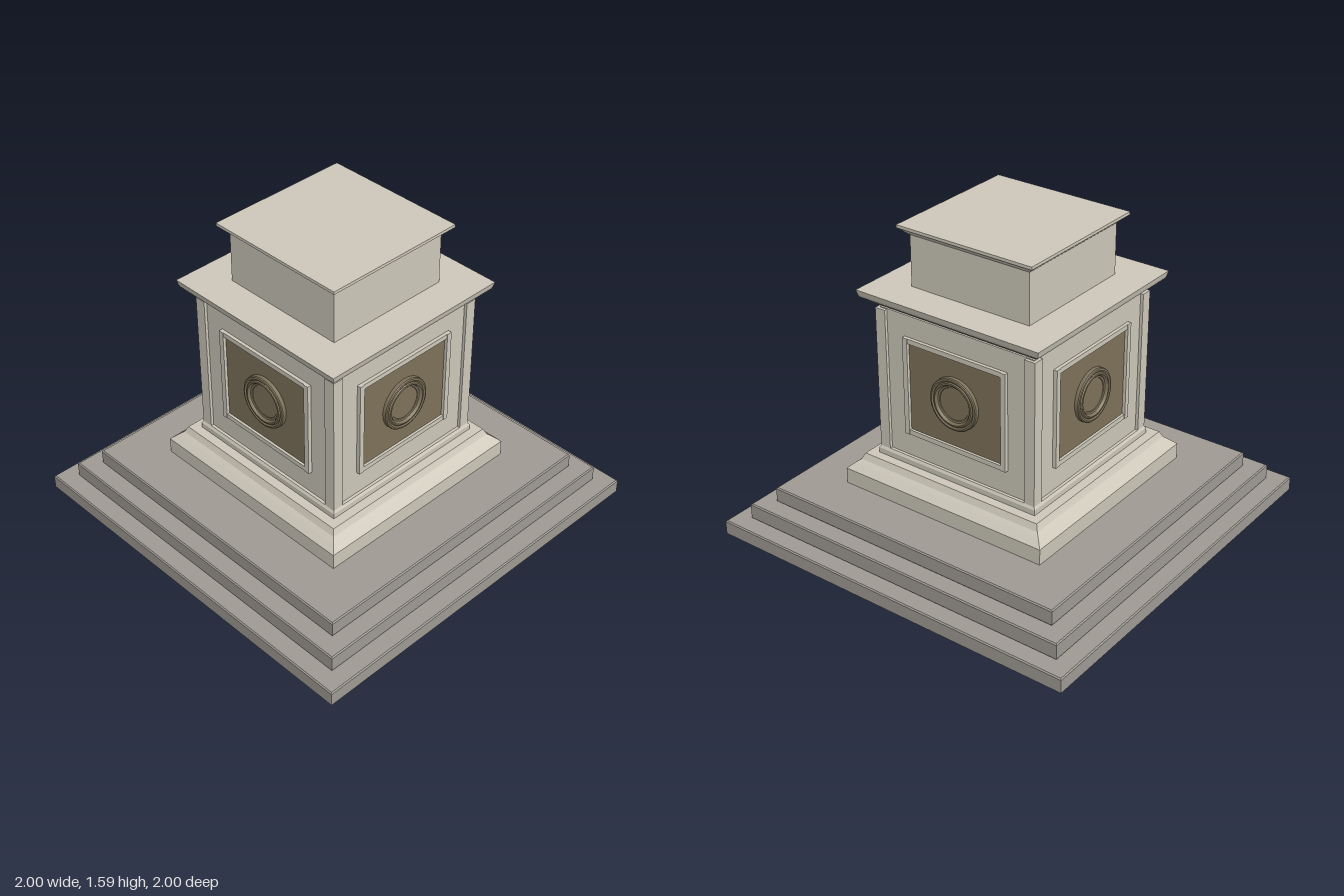
import * as THREE from 'three';
import { toCreasedNormals } from 'three/addons/utils/BufferGeometryUtils.js';

const paint = (name, color) => {
  const m = new THREE.MeshStandardMaterial({ color });
  m.name = name;
  return m;
};

export function createModel() {
  const model = new THREE.Group();
  model.name = 'pedestal';
  const cream = paint('cream stone', 0xcdc8ba);
  const grey = paint('grey stone', 0x9f9b94);
  const bronze = paint('bronze', 0x7e725a);

  const add = (parent, name, geometry, material, x = 0, y = 0, z = 0) => {
    const mesh = new THREE.Mesh(geometry, material);
    mesh.name = name;
    mesh.position.set(x, y, z);
    parent.add(mesh);
    return mesh;
  };
  const box = (parent, name, material, w, h, d, x, y, z) =>
    add(parent, name, new THREE.BoxGeometry(w, h, d), material, x, y, z);

  // Square tier from a closed profile of [half width, height], bottom to top
  const tier = (name, material, profile) => {
    const pts = [[0, profile[0][1]], ...profile, [0, profile.at(-1)[1]]]
      .map(([r, y]) => new THREE.Vector2(r * Math.SQRT2, y));
    const g = new THREE.LatheGeometry(pts, 4, Math.PI / 4).toNonIndexed();
    g.computeVertexNormals();
    add(model, name, g, material);
  };

  // Three steps with slightly eased edges
  [[1, 0, 0.08], [0.91, 0.08, 0.165], [0.82, 0.165, 0.247]].forEach(([r, y0, y1], i) => {
    const e = 0.006;
    tier(`step${i + 1}`, grey, [[r - e, y0], [r, y0 + e], [r, y1 - e], [r - e, y1]]);
  });

  // Plinth, shaft and crowning block
  tier('baseMoulding', cream, [
    [0.577, 0.247], [0.577, 0.328], [0.562, 0.342], [0.545, 0.358],
    [0.525, 0.374], [0.518, 0.388], [0.51, 0.405],
  ]);
  tier('baseBand', cream, [[0.463, 0.405], [0.463, 0.432], [0.455, 0.445]]);
  tier('shaft', cream, [[0.44, 0.44], [0.44, 1.185]]);
  tier('cornice', cream, [
    [0.43, 1.178], [0.43, 1.19], [0.455, 1.2], [0.475, 1.216],
    [0.475, 1.222], [0.505, 1.238], [0.51, 1.25], [0.516, 1.275],
  ]);
  tier('upperBlock', cream, [[0.335, 1.27], [0.335, 1.54]]);
  tier('cap', cream, [[0.338, 1.535], [0.372, 1.565], [0.378, 1.57], [0.378, 1.585]]);

  // Corner pilasters
  for (const x of [-1, 1])
    for (const z of [-1, 1])
      box(model, 'cornerPilaster', cream, 0.057, 0.735, 0.057, x * 0.427, 0.8125, z * 0.427);

  // Ringed medallion turned to face outwards
  const rings = [
    [0.134, 0], [0.134, 0.018], [0.13, 0.023], [0.122, 0.025], [0.117, 0.022],
    [0.114, 0.02], [0.109, 0.025], [0.102, 0.026], [0.097, 0.022],
    [0.093, 0.014], [0.084, 0.012], [0.082, 0.009], [0, 0.009],
  ].map(([r, y]) => new THREE.Vector2(r, y));
  const medallion = toCreasedNormals(
    new THREE.LatheGeometry(rings, 40).rotateX(Math.PI / 2), 0.6);

  // A framed panel with medallion on each of the four sides
  for (let i = 0; i < 4; i++) {
    const side = new THREE.Group();
    side.name = 'sidePanel';
    side.rotation.y = i * Math.PI / 2;
    box(side, 'panel', bronze, 0.54, 0.47, 0.008, 0, 0.822, 0.44);
    for (const s of [-1, 1]) {
      box(side, 'frameUpright', cream, 0.027, 0.505, 0.03, s * 0.282, 0.8225, 0.445);
      box(side, 'frameRail', cream, 0.537, 0.025, 0.024, 0, 0.8225 + s * 0.24, 0.445);
    }
    add(side, 'medallion', medallion, bronze, 0, 0.822, 0.444);
    model.add(side);
  }
  return model;
}
